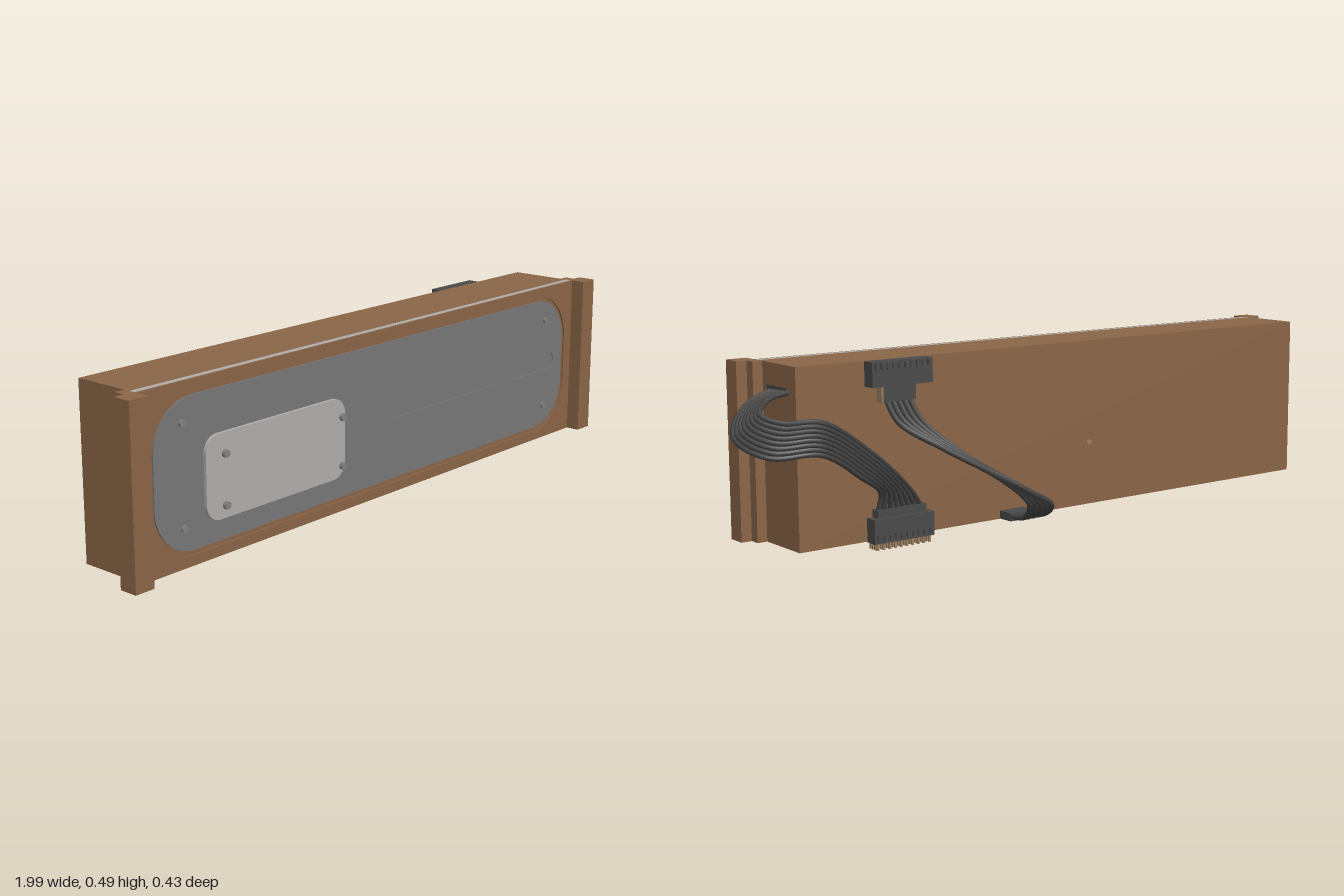
import * as THREE from 'three';

const mat = (name, color) => Object.assign(new THREE.MeshStandardMaterial({ color }), { name });

export function createModel() {
  const model = new THREE.Group();
  const brown = mat('brown casing', 0x8a6547);
  const grey = mat('grey panel', 0x787678);
  const silver = mat('light metal', 0xafadab);
  const steel = mat('screw steel', 0x838180);
  const housing = mat('connector black', 0x4a4a4a);
  const wire = mat('wire black', 0x434343);
  const tan = mat('tan contacts', 0x9c8162);

  const add = (name, geo, material, parent = model) => {
    const m = new THREE.Mesh(geo, material);
    m.name = name;
    parent.add(m);
    return m;
  };
  // Box given by its lower and upper limits on each axis
  const box = (name, material, [x0, x1], [y0, y1], [z0, z1], parent) => {
    const m = add(name, new THREE.BoxGeometry(x1 - x0, y1 - y0, z1 - z0), material, parent);
    m.position.set((x0 + x1) / 2, (y0 + y1) / 2, (z0 + z1) / 2);
    return m;
  };
  // Rounded rectangle outline, used as a shape or as a hole
  const rounded = (x0, x1, y0, y1, r, Type = THREE.Shape) => {
    const s = new Type();
    s.moveTo(x0 + r, y0);
    s.lineTo(x1 - r, y0);
    s.absarc(x1 - r, y0 + r, r, -Math.PI / 2, 0);
    s.lineTo(x1, y1 - r);
    s.absarc(x1 - r, y1 - r, r, 0, Math.PI / 2);
    s.lineTo(x0 + r, y1);
    s.absarc(x0 + r, y1 - r, r, Math.PI / 2, Math.PI);
    s.lineTo(x0, y0 + r);
    s.absarc(x0 + r, y0 + r, r, Math.PI, Math.PI * 1.5);
    return s;
  };
  const plate = (name, shape, z0, z1, material) => {
    const g = new THREE.ExtrudeGeometry(shape, { depth: z1 - z0, bevelEnabled: false, curveSegments: 12 });
    add(name, g, material).position.z = z0;
  };
  const disc = (name, x, y, z0, z1, r, material) => {
    const g = new THREE.CylinderGeometry(r, r, z1 - z0, 16).rotateX(Math.PI / 2);
    add(name, g, material).position.set(x, y, (z0 + z1) / 2);
  };

  // Casing, with a metal sheet showing along its top edge
  box('casing', brown, [-0.94, 0.83], [0.022, 0.491], [-0.033, 0.148]);
  box('frontBacking', brown, [-0.94, 0.83], [0.022, 0.25], [0.148, 0.166]);
  box('metalSheet', silver, [-0.94, 0.83], [0.25, 0.491], [0.148, 0.166]);
  box('frontLedge', brown, [-0.94, 0.83], [0.022, 0.491], [0.166, 0.168]);
  disc('rearHole', -0.117, 0.2, -0.035, -0.033, 0.008, tan);

  // Front frame and the inset panel with its long groove
  const frame = rounded(-0.94, 0.83, 0.022, 0.491, 0.001);
  frame.holes.push(rounded(-0.91, 0.795, 0.05, 0.462, 0.14, THREE.Path));
  plate('frontFrame', frame, 0.168, 0.173, brown);
  const panel = rounded(-0.896, 0.783, 0.062, 0.452, 0.13);
  panel.holes.push(rounded(-0.055, 0.74, 0.235, 0.285, 0.0249, THREE.Path));
  plate('frontPanel', panel, 0.168, 0.172, grey);
  plate('grooveFloor', rounded(-0.056, 0.741, 0.234, 0.286, 0.025), 0.168, 0.169, grey);
  for (const x of [-0.805, 0.69])
    for (const y of [0.125, 0.39]) disc('panelScrew', x, y, 0.17, 0.179, 0.009, steel);

  // Cover plate and its raised screws
  plate('coverPlate', rounded(-0.735, -0.23, 0.12, 0.34, 0.045), 0.172, 0.181, silver);
  for (const x of [-0.695, -0.27])
    for (const y of [0.165, 0.297]) disc('coverScrew', x, y, 0.205, 0.215, 0.01, steel);

  // Stepped mounting rails at both ends
  for (const [name, edge, dir] of [['rightRail', -0.94, -1], ['leftRail', 0.83, 1]]) {
    const rail = new THREE.Group();
    rail.name = name;
    model.add(rail);
    const span = (w) => (dir > 0 ? [edge, edge + w] : [edge - w, edge]);
    box('railStep', brown, span(0.028), [0.022, 0.491], [0.13, 0.16], rail);
    box('railFace', brown, span(0.058), [0.022, 0.491], [0.16, 0.213], rail);
  }

  // Rear connectors
  box('lowerConnector', housing, [0.445, 0.63], [0.02, 0.084], [-0.07, -0.033]);
  box('lowerPlug', housing, [0.462, 0.613], [0.084, 0.105], [-0.058, -0.033]);
  box('upperConnector', housing, [0.445, 0.63], [0.425, 0.49], [-0.07, -0.033]);
  box('upperPlug', housing, [0.49, 0.59], [0.383, 0.425], [-0.058, -0.033]);
  box('upperPlugContact', tan, [0.59, 0.595], [0.383, 0.425], [-0.058, -0.033]);
  box('smallPlug', housing, [0.12, 0.202], [0.023, 0.045], [-0.083, -0.033]);
  for (let i = 0; i < 10; i++) {
    const x = 0.458 + i * 0.0178;
    box('upperRib', housing, [x - 0.004, x + 0.004], [0.47, 0.486], [-0.075, -0.07]);
    box('lowerRib', housing, [x - 0.004, x + 0.004], [0.026, 0.042], [-0.075, -0.07]);
    for (let j = 0; j < 4; j++) {
      const z = -0.032 - j * 0.0107;
      box('pin', tan, [x - 0.003, x + 0.003], [0.002, 0.022], [z - 0.003, z + 0.003]);
    }
  }
  box('cableSlot', housing, [0.828, 0.832], [0.414, 0.434], [0.008, 0.107]);

  // Wire bundles: each path gives its points for a strand at t from -1 to 1
  const bundle = (name, count, radius, path) => {
    const group = new THREE.Group();
    group.name = name;
    model.add(group);
    for (let i = 0; i < count; i++) {
      const t = (2 * i) / (count - 1) - 1;
      const curve = new THREE.CatmullRomCurve3(path(t).map((p) => new THREE.Vector3(...p)));
      add('wire', new THREE.TubeGeometry(curve, 48, radius, 8), wire, group);
    }
  };
  bundle('sideCable', 8, 0.0068, (t) => [
    [0.81, 0.425, 0.055 + 0.044 * t],
    [0.9 + 0.01 * t, 0.402 - 0.012 * t, 0.035 + 0.042 * t],
    [0.965 + 0.02 * t, 0.355 - 0.03 * t, -0.03 + 0.03 * t],
    [0.93 + 0.02 * t, 0.328 - 0.04 * t, -0.11],
    [0.83, 0.328 - 0.04 * t, -0.148],
    [0.68 + 0.015 * t, 0.24 - 0.03 * t, -0.115],
    [0.56 + 0.045 * t, 0.15, -0.062],
    [0.538 + 0.066 * t, 0.1, -0.046],
  ]);
  bundle('rearCable', 5, 0.0075, (t) => [
    [0.54 + 0.035 * t, 0.39, -0.046],
    [0.52 + 0.035 * t, 0.33, -0.075],
    [0.43 + 0.03 * t, 0.25 + 0.01 * t, -0.14],
    [0.29 + 0.03 * t, 0.16 + 0.015 * t, -0.196 + 0.01 * t],
    [0.19 + 0.032 * t, 0.09 + 0.005 * t, -0.195 + 0.008 * t],
    [0.165 + 0.032 * t, 0.045, -0.14],
    [0.161 + 0.032 * t, 0.034, -0.08],
  ]);

  return model;
}
